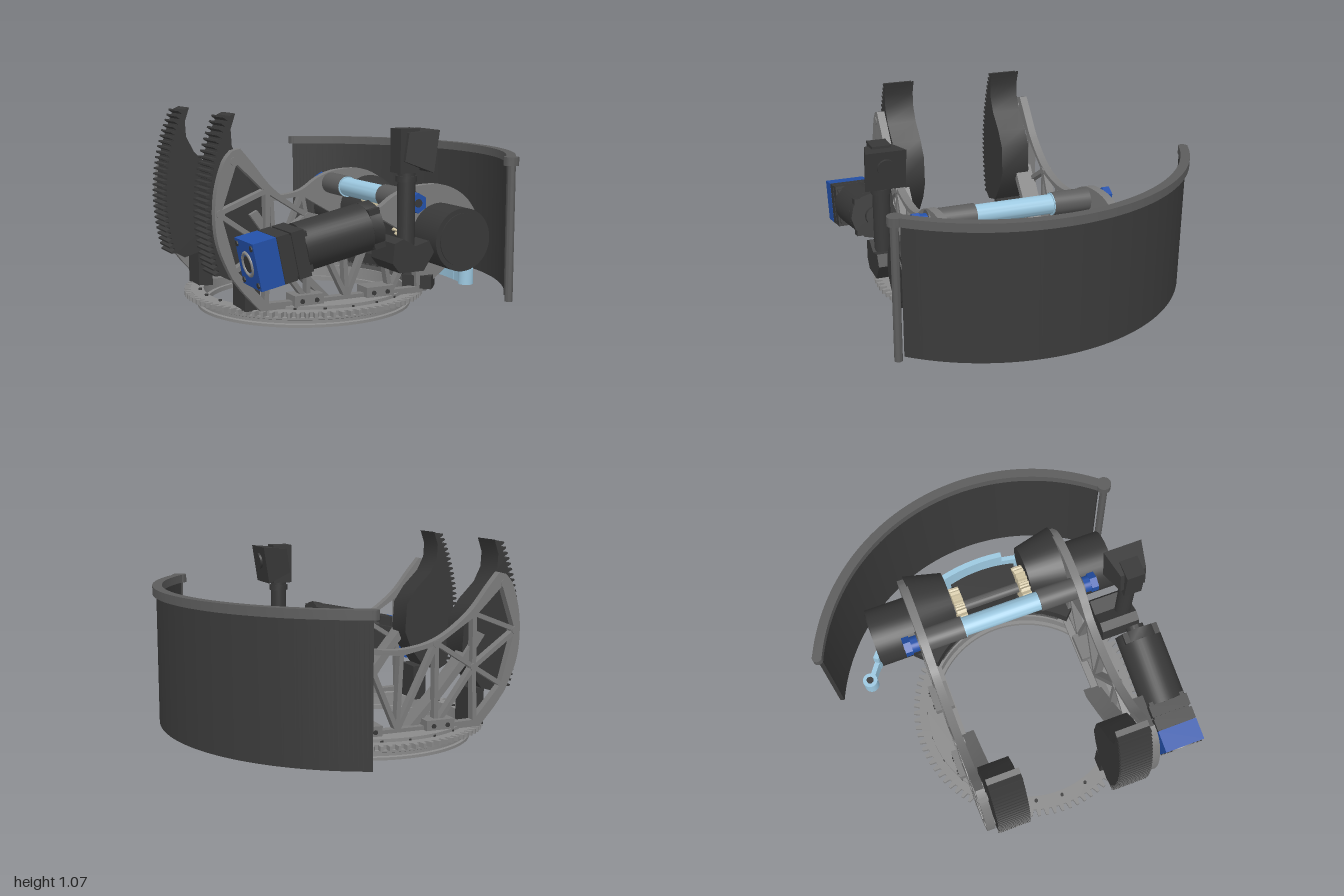
import * as THREE from 'three';
import { toCreasedNormals } from 'three/addons/utils/BufferGeometryUtils.js';

const mat = (color) => new THREE.MeshStandardMaterial({ color, side: THREE.DoubleSide });
const METAL = mat(0x8a8a8a), PLATE = mat(0x7c7c7c), DARK = mat(0x383838), SHIELD = mat(0x3a3a3a);
const GREY = mat(0x5c5c5c), BLUE = mat(0x2350a8), SKY = mat(0x9cc8e0), CREAM = mat(0xcfc3a2);

function add(parent, name, geometry, material, pos = [0, 0, 0], rot = [0, 0, 0]) {
  const mesh = new THREE.Mesh(toCreasedNormals(geometry, 0.6), material);
  mesh.name = name;
  mesh.position.set(...pos);
  mesh.rotation.set(...rot);
  parent.add(mesh);
  return mesh;
}
function addGroup(parent, name, pos = [0, 0, 0], rot = [0, 0, 0]) {
  const group = new THREE.Group();
  group.name = name;
  group.position.set(...pos);
  group.rotation.set(...rot);
  parent.add(group);
  return group;
}
const box = (w, h, d) => new THREE.BoxGeometry(w, h, d);
const cylX = (r, h, n = 40) => new THREE.CylinderGeometry(r, r, h, n).rotateZ(Math.PI / 2);
const cylY = (r, h, n = 24) => new THREE.CylinderGeometry(r, r, h, n);
const cylZ = (r1, r2, h, n = 40) => new THREE.CylinderGeometry(r1, r2, h, n).rotateX(Math.PI / 2);
const vecs = (pts) => pts.map(([x, y]) => new THREE.Vector2(x, y));
const poly = (pts) => new THREE.Shape(vecs(pts));
const extrude = (shape, depth) =>
  new THREE.ExtrudeGeometry(shape, { depth, bevelEnabled: false, curveSegments: 48 });
// Flat slab lying in the x-z plane; its top is at y = 0
const slab = (shape, h) => extrude(shape, h).rotateX(Math.PI / 2);

function arcBand(ri, ro, a0, a1) {
  const s = new THREE.Shape();
  s.absarc(0, 0, ro, a0, a1, false);
  s.absarc(0, 0, ri, a1, a0, true);
  return s;
}

// Points of a toothed arc
function teeth(r, depth, a0, a1, n) {
  const pts = [], step = (a1 - a0) / n;
  for (let i = 0; i < n; i++) {
    [[0, -depth], [0.22, -depth], [0.4, 0], [0.7, 0], [0.88, -depth]].forEach(([t, d]) => {
      const a = a0 + (i + t) * step;
      pts.push([(r + d) * Math.cos(a), (r + d) * Math.sin(a)]);
    });
  }
  return pts;
}

function gear(r, depth, n, hole) {
  const s = poly(teeth(r, depth, 0, Math.PI * 2, n));
  s.holes.push(new THREE.Path().absarc(0, 0, hole, 0, Math.PI * 2, true));
  return s;
}

// Triangle pulled in from all three sides by d, leaving struts between neighbours
function insetTriangle(pts, d) {
  const [a, b, c] = vecs(pts);
  const la = b.distanceTo(c), lb = c.distanceTo(a), lc = a.distanceTo(b), per = la + lb + lc;
  const centre = new THREE.Vector2().addScaledVector(a, la / per).addScaledVector(b, lb / per).addScaledVector(c, lc / per);
  const area = Math.abs((b.x - a.x) * (c.y - a.y) - (c.x - a.x) * (b.y - a.y)) / 2;
  const k = Math.max(0.1, 1 - d / ((2 * area) / per));
  return new THREE.Path([a, b, c].map((p) => p.sub(centre).multiplyScalar(k).add(centre)));
}

function trussShape() {
  const s = new THREE.Shape();
  s.moveTo(-0.6, 0.9);
  s.splineThru(vecs([[-0.645, 0.84], [-0.685, 0.7], [-0.692, 0.55], [-0.67, 0.42], [-0.61, 0.28]]));
  [[-0.55, 0.2], [-0.46, 0.1], [0.46, 0.1], [0.62, 0.22], [0.8, 0.3], [0.83, 0.48]].forEach((p) => s.lineTo(...p));
  s.splineThru(vecs([[0.74, 0.6], [0.6, 0.67], [0.42, 0.67], [0.3, 0.63], [0.18, 0.56], [0, 0.54],
    [-0.2, 0.58], [-0.38, 0.7], [-0.5, 0.84], [-0.56, 0.91]]));
  const N = {
    A: [-0.585, 0.86], B: [-0.675, 0.6], C: [-0.595, 0.31], D: [-0.43, 0.125], E: [-0.42, 0.7], F: [-0.42, 0.42],
    G: [-0.2, 0.56], H: [-0.2, 0.12], I: [0, 0.52], J: [0.02, 0.12], K: [0.2, 0.54], L: [0.28, 0.12], M: [0.44, 0.4], N: [0.45, 0.12],
  };
  'ABE BFE BCF CDF EFG FDH FHG GHJ GJI IJK JLK KLM LNM'.split(' ')
    .forEach((t) => s.holes.push(insetTriangle([...t].map((k) => N[k]), 0.012)));
  return s;
}

export function createModel() {
  const model = new THREE.Group();
  model.name = 'turretMechanism';

  // Turret frame: local x runs along the side plates, z is the tilt axis
  const turret = addGroup(model, 'turret', [-0.11, 0, -0.145], [0, -0.405, 0]);

  // Slewing ring
  add(turret, 'ringGear', slab(gear(0.655, 0.035, 90, 0.55), 0.025), METAL, [0, 0.095, 0]);
  const ring = [[0.53, 0.005], [0.585, 0.005], [0.585, 0.02], [0.572, 0.024], [0.572, 0.04], [0.585, 0.045],
    [0.585, 0.055], [0.57, 0.058], [0.57, 0.075], [0.55, 0.075], [0.55, 0.03], [0.53, 0.03], [0.53, 0.005]];
  add(turret, 'bearingRing', new THREE.LatheGeometry(vecs(ring), 96), METAL);
  for (let i = 0; i < 24; i++) {
    const a = (i / 24) * Math.PI * 2;
    add(turret, 'ringBolt', cylY(0.01, 0.012, 8), DARK, [0.57 * Math.cos(a), 0.098, 0.57 * Math.sin(a)]);
  }

  // Tilt rack profile around the tilt axis, with scooped inner side
  const AX = 0.39, AY = 0.595;
  const rackPts = teeth(1.11, 0.025, Math.PI - 0.447, Math.PI + 0.29, 27).map(([x, y]) => [x + AX, y + AY]);
  const rack = poly([...rackPts, [-0.6, 0.26], [-0.5, 0.29], [-0.42, 0.4], [-0.38, 0.5], [-0.39, 0.66], [-0.45, 0.75],
    [-0.54, 0.84], [-0.58, 0.92], [-0.585, 1.0], [-0.56, 1.075]]);
  const truss = trussShape();
  const strap = poly([[-0.5, 0.58], [-0.4, 0.44], [-0.24, 0.26], [-0.09, 0.105], [-0.04, 0.105], [-0.22, 0.29], [-0.37, 0.47], [-0.46, 0.6]]);

  for (const s of [-1, 1]) {
    const side = addGroup(turret, s > 0 ? 'frontSide' : 'backSide');
    add(side, 'sidePlate', extrude(truss, 0.045), PLATE, [0, 0, s * 0.45 - 0.0225]);
    add(side, 'tiltRack', extrude(rack, 0.17), DARK, [0, 0, s * 0.33 - 0.085]);
    add(side, 'rackFoot', box(0.08, 0.2, 0.16), DARK, [-0.48, 0.19, s * 0.33]);
    add(side, 'plateStrap', extrude(strap, 0.1), PLATE, [0, 0, s * 0.39 - 0.05]);
    // Flange and feet that hold the plate on the ring
    const flange = new THREE.Shape().absarc(0, 0, 0.575, s * Math.PI / 2 - 0.83, s * Math.PI / 2 + 0.83, false);
    add(side, 'plateFlange', slab(flange, 0.02), METAL, [0, 0.112, 0]);
    for (const x of [-0.21, 0.2]) {
      add(side, 'plateFoot', box(0.16, 0.06, 0.11), PLATE, [x, 0.135, s * 0.45]);
      for (const dx of [-0.04, 0.04]) add(side, 'footBolt', cylZ(0.012, 0.012, 0.01, 10), DARK, [x + dx, 0.135, s * 0.507]);
    }
    // Bosses at the strut joints
    for (const [x, y] of [[-0.59, 0.85], [-0.665, 0.6], [-0.42, 0.42], [-0.2, 0.555]])
      add(side, 'plateBoss', cylZ(0.022, 0.022, 0.055, 14), PLATE, [x, y, s * 0.45]);

    // Drive drum outside the plate, tapered gear case and pinion inside
    add(side, 'driveDrum', cylZ(0.165, 0.165, 0.24), DARK, [0.575, 0.41, s * 0.58]);
    add(side, 'drumCap', cylZ(0.14, 0.14, 0.012), DARK, [0.575, 0.41, s * 0.7]);
    add(side, 'gearCase', s > 0 ? cylZ(0.2, 0.15, 0.21) : cylZ(0.15, 0.2, 0.21), DARK, [0.65, 0.43, s * 0.33]);
    add(side, 'pinion', extrude(gear(0.115, 0.02, 22, 0.03), 0.055), CREAM, [0.57, 0.44, s * 0.19 - 0.0275]);

    // Tilt shaft supports
    add(side, 'shaftSleeve', cylZ(0.062, 0.062, 0.26, 32), GREY, [AX, AY, s * 0.35]);
    add(side, 'shaftCollar', cylZ(0.045, 0.045, 0.05, 32), BLUE, [AX, AY, s * 0.5]);
    add(side, 'shaftNut', cylZ(0.054, 0.054, 0.04, 6), BLUE, [AX, AY, s * 0.54]);
    add(side, 'shaftBore', cylZ(0.022, 0.022, 0.01, 20), DARK, [AX, AY, s * 0.558]);
  }
  add(turret, 'tiltShaft', cylZ(0.053, 0.053, 0.52, 32), SKY, [AX, AY, -0.02]);
  for (const z of [-0.25, -0.22]) add(turret, 'shaftRib', cylZ(0.06, 0.06, 0.012, 32), SKY, [AX, AY, z]);
  add(turret, 'pinionShaft', cylZ(0.03, 0.03, 0.6, 20), GREY, [0.57, 0.44, 0]);

  // Curved casing between the pinions and its base
  add(turret, 'centreCasing', slab(arcBand(0.57, 0.735, -0.26, 0.26), 0.26), DARK, [0, 0.46, 0]);
  add(turret, 'casingBase', slab(arcBand(0.56, 0.72, -0.8, 0.8), 0.07), DARK, [0, 0.19, 0]);
  add(turret, 'casingRib', slab(arcBand(0.56, 0.68, -0.7, 0.7), 0.035), GREY, [0, 0.13, 0]);

  // Motor with gearbox, slightly tilted
  const motor = addGroup(turret, 'motor', [-0.57, 0.395, 0.67], [0, 0, 0.2]);
  add(motor, 'gearboxEnd', box(0.12, 0.23, 0.22), BLUE, [0.02, 0, 0]);
  for (const y of [-1, 1]) for (const z of [-1, 1])
    add(motor, 'gearboxBolt', cylX(0.015, 0.01, 8), DARK, [-0.041, y * 0.09, z * 0.085]);
  add(motor, 'outputBearing', new THREE.TorusGeometry(0.055, 0.01, 10, 28).rotateY(Math.PI / 2), METAL, [-0.038, 0, 0]);
  add(motor, 'outputBore', cylX(0.04, 0.01), DARK, [-0.038, 0, 0]);
  for (const x of [0.115, 0.19]) add(motor, 'gearboxStage', box(0.065, 0.23, 0.22), DARK, [x, 0, 0]);
  add(motor, 'gearboxCore', box(0.18, 0.2, 0.2), DARK, [0.15, 0, 0]);
  add(motor, 'motorCan', cylX(0.122, 0.36), DARK, [0.4, 0.005, 0]);
  add(motor, 'motorCap', box(0.06, 0.2, 0.2), DARK, [0.61, 0.005, 0]);
  add(motor, 'motorCapRim', cylX(0.125, 0.06, 12), DARK, [0.61, 0.005, 0]);
  add(motor, 'motorTail', cylX(0.05, 0.03), DARK, [0.655, 0.005, 0]);
  add(turret, 'motorMount', box(0.16, 0.14, 0.1), DARK, [-0.36, 0.43, 0.52], [0, 0, 0.2]);

  // Camera on its mast, turned with the side plates
  const mast = addGroup(model, 'cameraMast', [-0.13, 0, 0.55], [0, -0.405, 0]);
  add(mast, 'mastBase', extrude(poly([[-0.11, 0.43], [-0.06, 0.45], [0.01, 0.41], [0.09, 0.43], [0.12, 0.37],
    [0.06, 0.28], [-0.08, 0.28], [-0.12, 0.33]]), 0.22), DARK, [0, 0, -0.13]);
  add(mast, 'mastPost', cylY(0.045, 0.45), DARK, [-0.011, 0.58, 0.03]);
  add(mast, 'mastCollar', cylY(0.053, 0.03), DARK, [-0.011, 0.745, 0.03]);
  add(mast, 'headNeck', box(0.11, 0.22, 0.1), DARK, [-0.02, 0.885, 0.03]);
  const hood = new THREE.CylinderGeometry(0.15, 0.1, 0.15, 4).rotateY(Math.PI / 4).rotateZ(-Math.PI / 2);
  add(mast, 'cameraHood', hood, DARK, [0.025, 0.895, 0.03], [0, 0, -0.15]);
  add(mast, 'cameraLens', cylX(0.045, 0.03, 24), DARK, [0.1, 0.905, 0.03], [0, 0, -0.15]);

  // Curved shield with top rim and end rod
  const shield = addGroup(model, 'shield', [-0.135, 0, -0.125]);
  const A0 = -0.778, A1 = 1.105;
  add(shield, 'shieldPanel', slab(arcBand(1.09, 1.115, A0, A1), 0.7), SHIELD, [0, 0.8, 0]);
  add(shield, 'shieldRim', slab(arcBand(1.085, 1.135, A0, A1), 0.045), GREY, [0, 0.835, 0]);
  add(shield, 'rimPad', cylY(0.04, 0.045), GREY, [0.477, 0.8125, 1.008]);
  add(shield, 'rimPad', cylY(0.026, 0.045), GREY, [1.11 * Math.cos(A0), 0.8125, 1.11 * Math.sin(A0)]);
  add(shield, 'endRod', cylY(0.021, 0.74), GREY, [0.475, 0.445, 1.012]);

  // Thin bowed bracket behind the shield, ending in round eyes
  const bow = addGroup(model, 'bowBracket', [-0.2, 0, -0.14]);
  add(bow, 'bowBand', slab(arcBand(0.965, 0.997, -0.5, 0.54), 0.16), SKY, [0, 0.23, 0]);
  add(bow, 'bowFoot', slab(arcBand(0.968, 0.995, -0.59, 0.64), 0.09), SKY, [0, 0.16, 0]);
  for (const a of [-0.615, 0.665]) {
    const x = 0.99 * Math.cos(a), z = 0.99 * Math.sin(a);
    add(bow, 'bowEye', cylY(0.042, 0.09), SKY, [x, 0.115, z]);
    add(bow, 'eyeBore', cylY(0.02, 0.1), DARK, [x, 0.115, z]);
  }
  return model;
}
